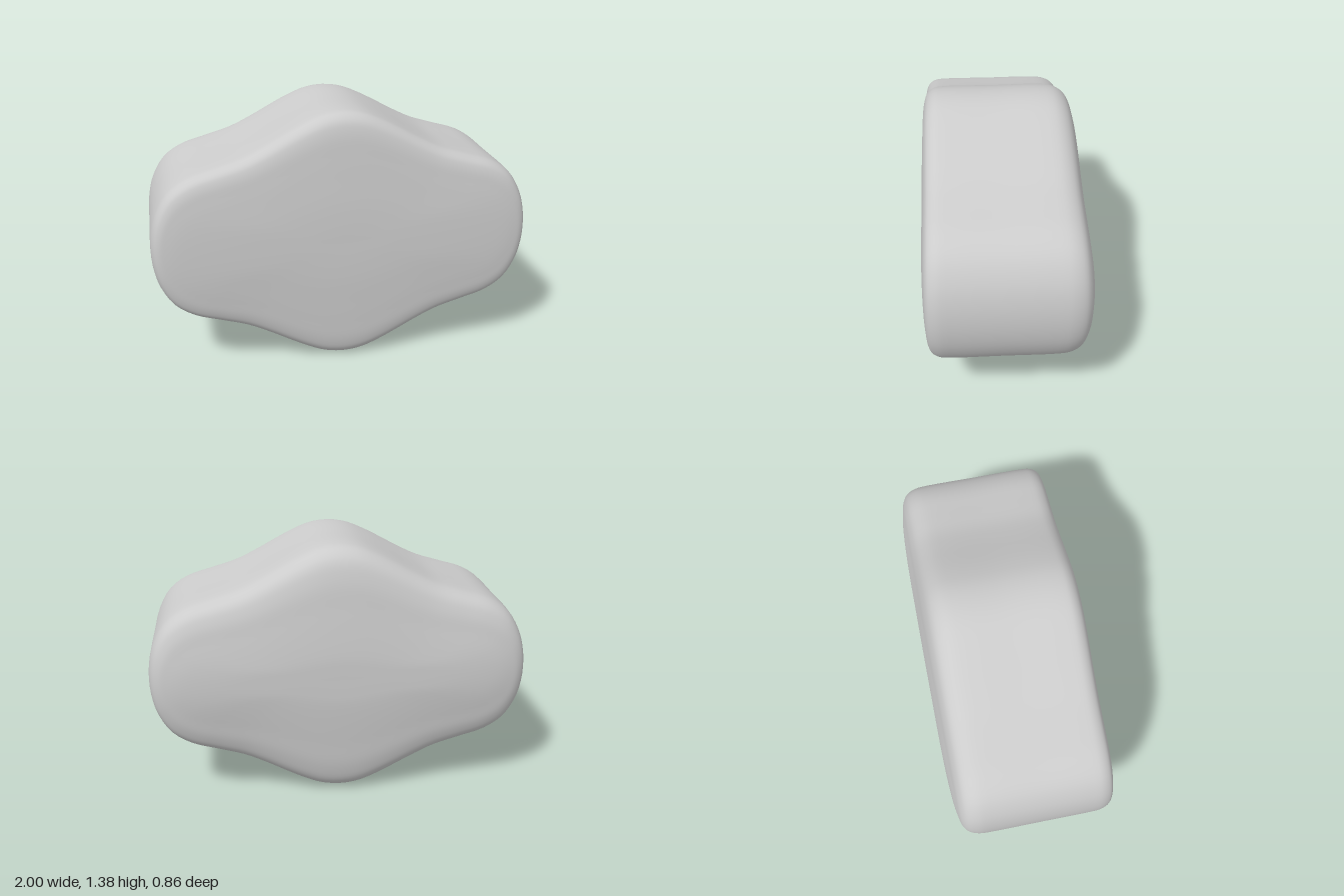
import * as THREE from 'three';

const MID_Y = 0.685; // height of the mirror plane

// One quarter of the lobed outline, from the side to the top (y from the middle)
const QUARTER = [
  [1, 0], [0.992, 0.1], [0.965, 0.2], [0.9, 0.308], [0.8, 0.378],
  [0.66, 0.423], [0.52, 0.467], [0.4, 0.525], [0.3, 0.58], [0.2, 0.632], [0.1, 0.672], [0, 0.685],
];

// Front-to-back profile: z, width scale, height scale
const PROFILE = [
  [0.43, 0, 0], [0.43, 0.3, 0.14], [0.427, 0.6, 0.32], [0.42, 0.83, 0.5], [0.412, 0.92, 0.68],
  [0.4, 0.965, 0.86], [0.38, 0.985, 0.945], [0.345, 0.997, 0.988], [0.3, 1, 1],
  [0.03, 1, 1],
  [-0.24, 1, 1], [-0.3, 0.998, 0.978], [-0.35, 0.985, 0.915], [-0.385, 0.955, 0.77],
  [-0.405, 0.9, 0.55], [-0.42, 0.8, 0.36], [-0.43, 0.6, 0.2], [-0.432, 0.3, 0.09], [-0.432, 0, 0],
];

// Mirror the quarter into a full counter-clockwise outline
function outlinePoints(count) {
  const half = [...QUARTER, ...QUARTER.slice(0, -1).reverse().map(([x, y]) => [-x, y])];
  const full = [...half, ...half.slice(1, -1).reverse().map(([x, y]) => [x, -y])];
  const curve = new THREE.CatmullRomCurve3(full.map(([x, y]) => new THREE.Vector3(x, y, 0)), true);
  return curve.getSpacedPoints(count).slice(0, count);
}

// Loft scaled copies of the outline along the profile
function loft(sides, rings) {
  const outline = outlinePoints(sides);
  const profile = new THREE.CatmullRomCurve3(PROFILE.map(([z, sx, sy]) => new THREE.Vector3(sx, sy, z)));
  const positions = [];
  const index = [];
  for (let i = 0; i <= rings; i++) {
    const s = profile.getPoint(i / rings);
    for (const p of outline) positions.push(p.x * s.x, MID_Y + p.y * s.y, s.z);
  }
  for (let i = 0; i < rings; i++) {
    for (let j = 0; j < sides; j++) {
      const a = i * sides + j;
      const b = i * sides + (j + 1) % sides;
      const c = a + sides;
      const d = b + sides;
      if (i > 0) index.push(a, c, b);
      if (i < rings - 1) index.push(b, c, d);
    }
  }
  const geometry = new THREE.BufferGeometry();
  geometry.setAttribute('position', new THREE.Float32BufferAttribute(positions, 3));
  geometry.setIndex(index);
  geometry.computeVertexNormals();
  // The two centre fans share one flat normal each
  const normals = geometry.attributes.normal;
  for (let j = 0; j < sides; j++) {
    normals.setXYZ(j, 0, 0, 1);
    normals.setXYZ(rings * sides + j, 0, 0, -1);
  }
  return geometry;
}

export function createModel() {
  const group = new THREE.Group();
  group.name = 'lobedBlock';
  const body = new THREE.Mesh(loft(128, 90), new THREE.MeshStandardMaterial({ color: 0xcccccc }));
  body.name = 'body';
  group.add(body);
  return group;
}
